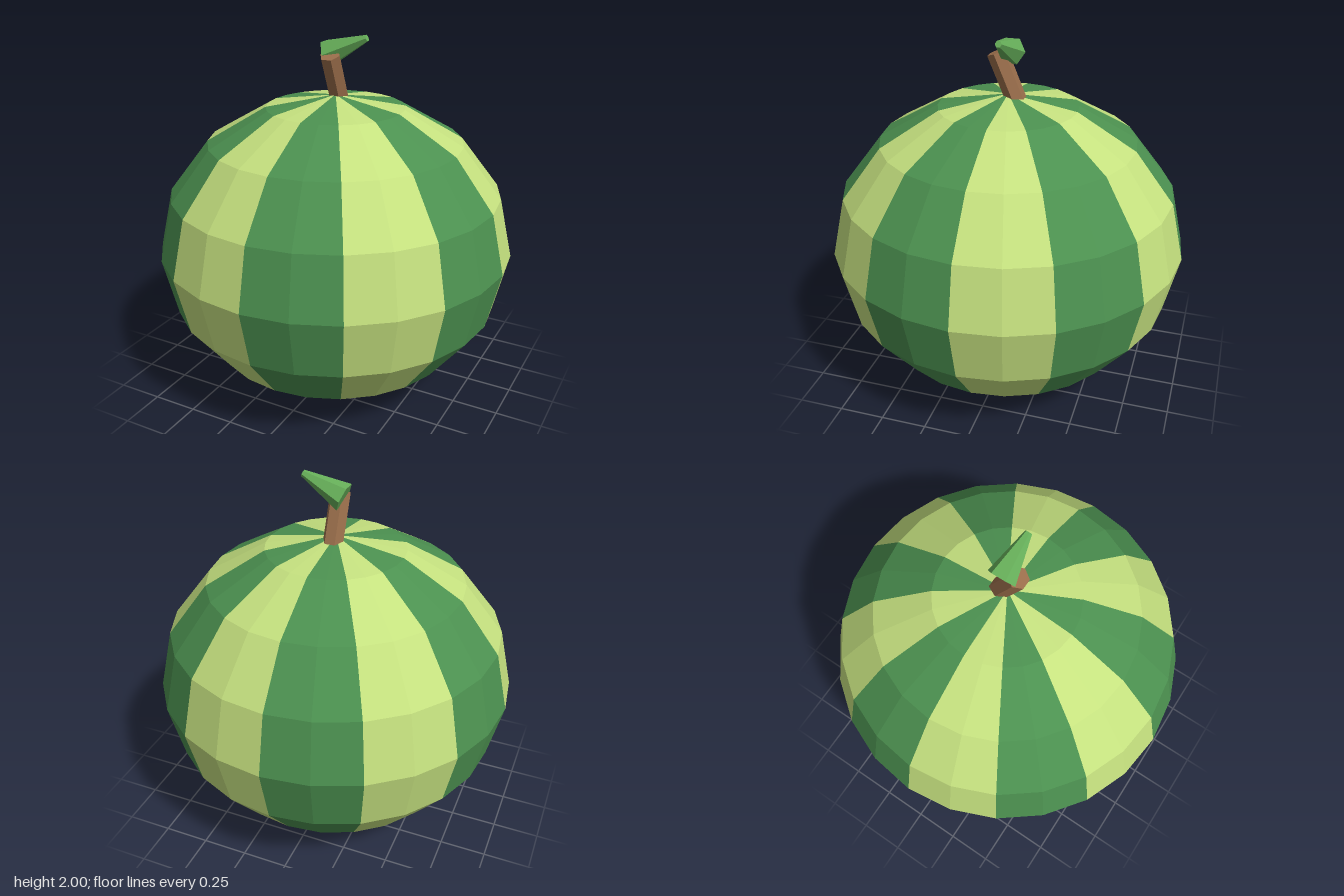
import * as THREE from 'three';

const paint = (color) => new THREE.MeshStandardMaterial({ color, flatShading: true });

export function createModel() {
  const model = new THREE.Group();
  model.name = 'melon';

  const add = (name, geometry, material, parent = model) => {
    const mesh = new THREE.Mesh(geometry, material);
    mesh.name = name;
    parent.add(mesh);
    return mesh;
  };

  // Rind: a squashed faceted ball made of twelve alternating wedges
  const rind = new THREE.Group();
  rind.name = 'rind';
  model.add(rind);
  const radius = 0.97, halfHeight = 0.838, rows = 8, stripes = 12;
  const profile = [];
  for (let i = 0; i <= rows; i++) {
    const a = (i / rows) * Math.PI;
    profile.push(new THREE.Vector2(radius * Math.sin(a), halfHeight * (1 - Math.cos(a))));
  }
  const dark = paint(0x4c9150), light = paint(0xc5e17f);
  const wedge = (Math.PI * 2) / stripes;
  for (let i = 0; i < stripes; i++) {
    const geometry = new THREE.LatheGeometry(profile, 2, i * wedge, wedge);
    add(i % 2 ? 'lightStripe' : 'darkStripe', geometry, i % 2 ? light : dark, rind);
  }

  // Stem: six-sided stub leaning forward, its foot sunk into the rind
  const stemLength = 0.3, lean = 0.4;
  const stemGeometry = new THREE.CylinderGeometry(0.055, 0.055, stemLength, 6, 1, false, Math.PI / 6);
  stemGeometry.translate(0, -stemLength / 2, 0);
  const stem = add('stem', stemGeometry, paint(0x9a6e4b));
  stem.position.set(0, 1.893, 0.061);
  stem.rotation.x = lean;

  // Leaf: tapered six-sided spike rising towards the left
  const base = new THREE.Vector3(-0.044, 1.889, -0.005);
  const tip = new THREE.Vector3(0.178, 1.984, 0);
  const leaf = add('leaf', new THREE.CylinderGeometry(0.018, 0.075, base.distanceTo(tip), 6), paint(0x67b05a));
  leaf.position.copy(base).lerp(tip, 0.5);
  leaf.rotation.z = -Math.atan2(tip.x - base.x, tip.y - base.y);

  return model;
}
